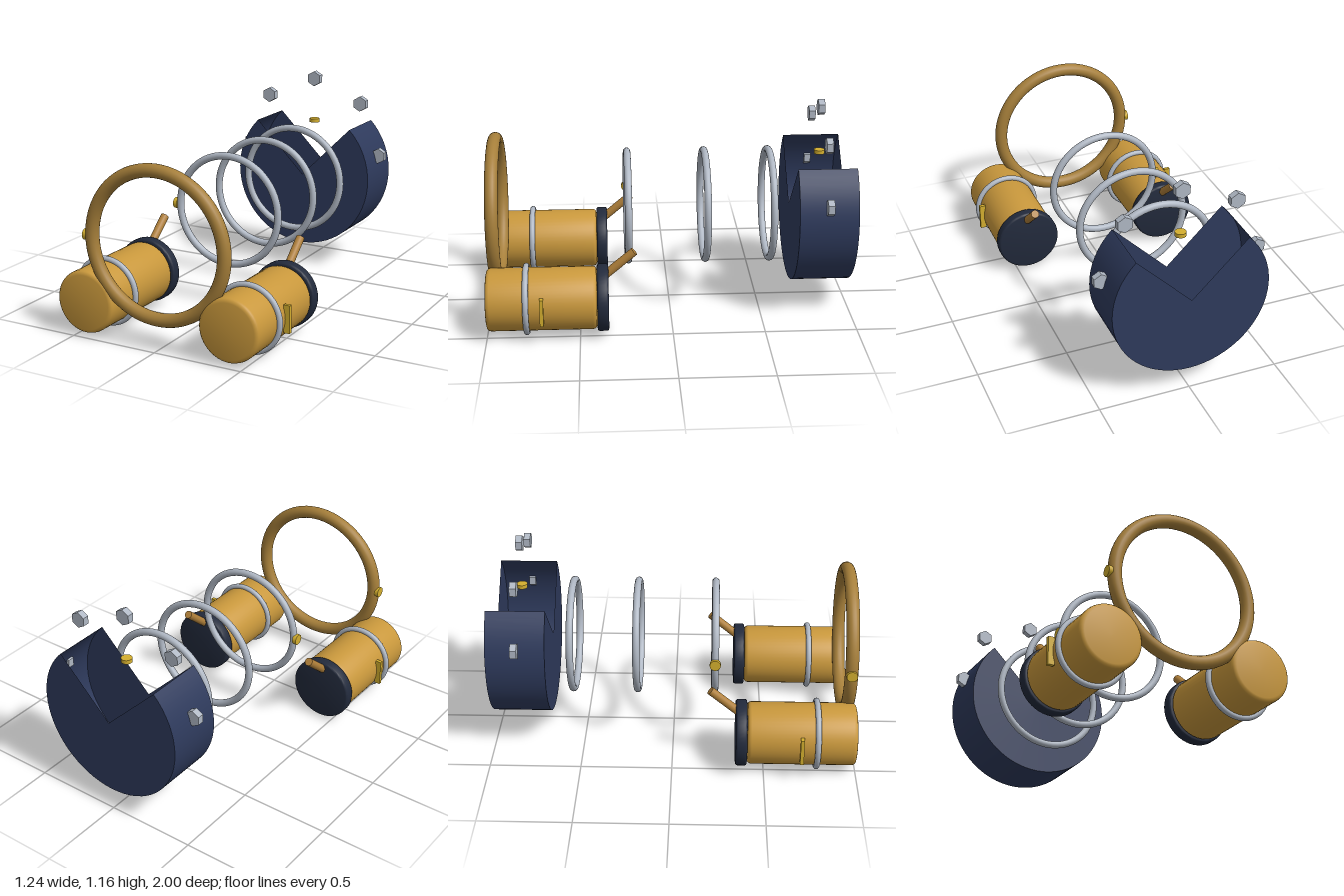
import * as THREE from 'three';
import { toCreasedNormals } from 'three/addons/utils/BufferGeometryUtils.js';

const mat = (color, extra = {}) => new THREE.MeshStandardMaterial({ color, ...extra });

export function createModel() {
  const model = new THREE.Group();
  const gold = mat(0xc9983c), darkGold = mat(0xa67f3a), silver = mat(0xb0b8c4);
  const navy = mat(0x2e3a5c, { side: THREE.DoubleSide }), dark = mat(0x222a3c);
  const yellow = mat(0xd4af2f), bronze = mat(0xb0803a);

  function add(name, geometry, material, x, y, z, parent = model) {
    const mesh = new THREE.Mesh(geometry, material);
    mesh.name = name;
    mesh.position.set(x, y, z);
    parent.add(mesh);
    return mesh;
  }

  // Solid drum along z with bevelled rims
  function drum(r, length, bevel) {
    const h = length / 2;
    const steps = [0, 1, 2, 3].map(i => i * Math.PI / 6);
    const pts = [new THREE.Vector2(0, -h)];
    for (const a of steps) pts.push(new THREE.Vector2(r - bevel + bevel * Math.sin(a), -h + bevel - bevel * Math.cos(a)));
    for (const a of steps) pts.push(new THREE.Vector2(r - bevel + bevel * Math.cos(a), h - bevel + bevel * Math.sin(a)));
    pts.push(new THREE.Vector2(0, h));
    return toCreasedNormals(new THREE.LatheGeometry(pts, 48).rotateX(Math.PI / 2), 0.6);
  }

  // Open three-quarter drum at the back
  const sector = new THREE.CylinderGeometry(0.43, 0.43, 0.32, 48, 1, false, -Math.PI * 0.75, Math.PI * 1.5);
  add('rearSectorDrum', sector.rotateX(Math.PI / 2), navy, 0, 0.56, -0.84);

  // Arch of hexagonal nuts over the rear drum
  const nut = new THREE.CylinderGeometry(0.045, 0.045, 0.036, 6).toNonIndexed().rotateX(Math.PI / 2);
  nut.computeVertexNormals();
  for (let i = 0; i < 5; i++) {
    const a = i * Math.PI / 4;
    add('hexNut', nut, silver, 0.43 * Math.cos(a), 0.69 + 0.43 * Math.sin(a), -0.84);
  }

  // Large front ring and the row of thinner rings behind it
  add('frontRing', new THREE.TorusGeometry(0.389, 0.036, 20, 72), darkGold, 0, 0.56, 0.958);
  for (const z of [0.23, -0.2, -0.56]) {
    add('middleRing', new THREE.TorusGeometry(0.305, 0.02, 16, 64), silver, 0, 0.562, z);
  }

  // Small studs
  const stud = new THREE.CylinderGeometry(0.03, 0.03, 0.022, 20);
  add('drumStud', stud, yellow, 0, 0.864, -0.84);
  add('frontRingStud', stud, yellow, -0.423, 0.562, 0.958).rotation.z = Math.PI / 2;
  add('middleRingStud', stud, yellow, -0.326, 0.562, 0.23).rotation.z = Math.PI / 2;

  // Pair of side canisters
  const body = drum(0.17, 0.59, 0.022), cap = drum(0.181, 0.062, 0.012);
  const band = new THREE.TorusGeometry(0.178, 0.016, 16, 56);
  const from = new THREE.Vector3(0, 0.125, 0.37), to = new THREE.Vector3(0, 0.264, 0.205);
  const rod = new THREE.CylinderGeometry(0.023, 0.023, from.distanceTo(to), 20);
  for (const s of [1, -1]) {
    const can = new THREE.Group();
    can.name = s > 0 ? 'leftCanister' : 'rightCanister';
    can.position.set(s * 0.427, 0.199, 0);
    model.add(can);
    add('canisterBody', body, gold, 0, 0, 0.703, can);
    add('canisterCap', cap, dark, 0, 0, 0.376, can);
    add('canisterBand', band, silver, 0, 0, 0.785, can);
    add('sidePlate', new THREE.BoxGeometry(0.035, 0.15, 0.02), yellow, s * 0.177, 0, 0.7, can);
    const mid = from.clone().lerp(to, 0.5);
    const r = add('slantedRod', rod, bronze, mid.x, mid.y, mid.z, can);
    r.quaternion.setFromUnitVectors(new THREE.Vector3(0, 1, 0), to.clone().sub(from).normalize());
  }

  return model;
}
